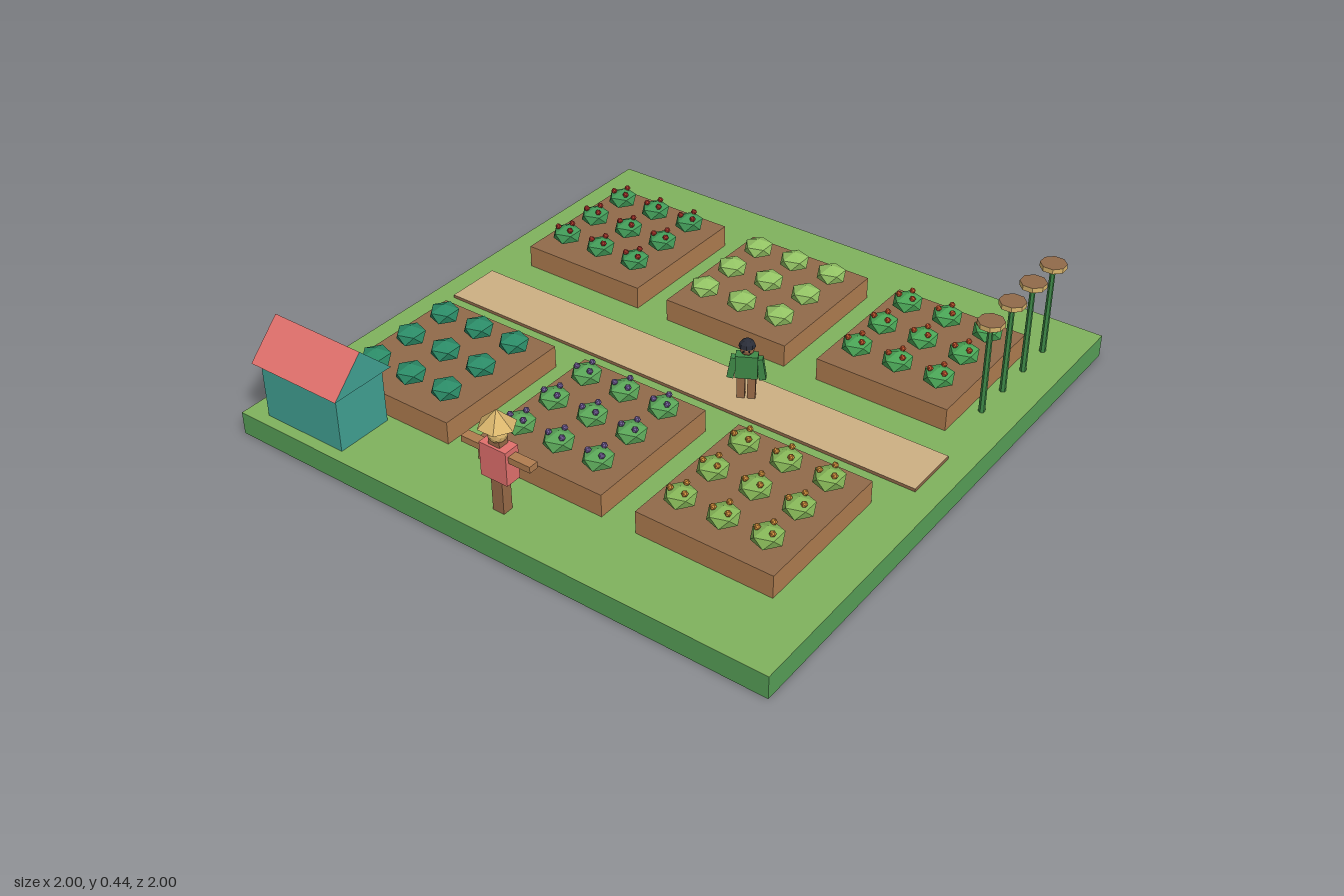
import * as THREE from 'three';

const mat = (color) => new THREE.MeshStandardMaterial({ color, flatShading: true });
const WOOD = mat(0xb07d50), SOIL = mat(0x916a4a), TEAL = mat(0x41a294), RED = mat(0xe2716d);
const SKIN = mat(0x9a6b48), STRAW = mat(0xd9b56c), DARK = mat(0x2a2d38), STEM = mat(0x3f8a48);

function add(parent, name, geometry, material, x = 0, y = 0, z = 0) {
  const mesh = new THREE.Mesh(geometry, material);
  mesh.name = name;
  mesh.position.set(x, y, z);
  parent.add(mesh);
  return mesh;
}

// Box standing on y0
const box = (parent, name, material, w, h, d, x, y0, z) =>
  add(parent, name, new THREE.BoxGeometry(w, h, d), material, x, y0 + h / 2, z);

function group(parent, name, x = 0, y = 0, z = 0) {
  const g = new THREE.Group();
  g.name = name;
  g.position.set(x, y, z);
  parent.add(g);
  return g;
}

// Box with a different colour on its top face
function toppedBox(parent, name, side, top, w, h, d, x, y0, z) {
  return box(parent, name, [side, side, top, side, side, side], w, h, d, x, y0, z);
}

// Squashed ten-sided bush with one corner pointing up
const bushGeometry = new THREE.IcosahedronGeometry(0.055, 0)
  .rotateZ(Math.atan(2 / (1 + Math.sqrt(5)))).scale(1, 0.62, 1);
const fruitGeometry = new THREE.IcosahedronGeometry(0.011, 0);

function plant(parent, leaf, fruit, x, y, z) {
  const g = group(parent, 'plant', x, y, z);
  add(g, 'leaves', bushGeometry, leaf);
  if (!fruit) return;
  for (let i = 0; i < 3; i++) {
    const a = Math.PI / 2 + (i * Math.PI * 2) / 3;
    add(g, 'fruit', fruitGeometry, fruit, Math.cos(a) * 0.03, 0.028, -Math.sin(a) * 0.03);
  }
}

// Raised bed with a three by three planting
function bed(parent, x, z, leafColor, fruitColor) {
  const g = group(parent, 'gardenBed', x, 0.08, z);
  toppedBox(g, 'soil', WOOD, SOIL, 0.476, 0.08, 0.52, 0, 0, 0);
  const leaf = mat(leafColor), fruit = fruitColor && mat(fruitColor);
  for (const i of [-1, 0, 1]) {
    for (const j of [-1, 0, 1]) plant(g, leaf, fruit, i * 0.15, 0.115, j * 0.16);
  }
}

function shed(parent) {
  const g = group(parent, 'shed', -0.76, 0.08, 0.86);
  box(g, 'walls', TEAL, 0.32, 0.2, 0.2, 0, 0, 0);
  // Gabled roof: the two ends match the walls
  const gable = new THREE.Shape();
  gable.moveTo(-0.12, 0);
  gable.lineTo(0.12, 0);
  gable.lineTo(0, 0.12);
  const roof = new THREE.ExtrudeGeometry(gable, { depth: 0.36, bevelEnabled: false });
  roof.translate(0, 0, -0.18).rotateY(Math.PI / 2);
  add(g, 'roof', roof, [TEAL, RED], 0, 0.2, 0);
}

function scarecrow(parent) {
  const g = group(parent, 'scarecrow', -0.02, 0.08, 0.88);
  box(g, 'post', SKIN, 0.042, 0.26, 0.038, 0, 0, 0);
  box(g, 'shirt', RED, 0.1, 0.118, 0.056, 0, 0.122, 0);
  box(g, 'arms', WOOD, 0.26, 0.022, 0.034, 0, 0.199, 0);
  add(g, 'head', new THREE.IcosahedronGeometry(0.031, 1), STRAW, 0, 0.276, 0);
  const hat = new THREE.ConeGeometry(0.06, 0.055, 6).rotateY(Math.PI / 2);
  add(g, 'hat', hat, STRAW, 0, 0.332, 0);
}

function gardener(parent) {
  const g = group(parent, 'gardener', 0.24, 0.09, 0);
  g.rotation.y = 0.5;
  const shirt = mat(0x3f8a48);
  for (const s of [-1, 1]) {
    box(g, 'leg', SKIN, 0.026, 0.085, 0.03, s * 0.017, 0, 0);
    const arm = box(g, 'arm', shirt, 0.022, 0.076, 0.026, s * 0.046, 0.073, 0);
    arm.rotation.z = s * 0.16;
  }
  box(g, 'torso', shirt, 0.072, 0.082, 0.038, 0, 0.078, 0);
  add(g, 'head', new THREE.IcosahedronGeometry(0.025, 1), SKIN, 0, 0.184, 0);
  const cap = new THREE.SphereGeometry(0.028, 8, 3, 0, Math.PI * 2, 0, Math.PI / 2);
  add(g, 'hair', cap, DARK, 0, 0.19, 0).scale.y = 0.95;
  for (const s of [-1, 1]) box(g, 'eye', DARK, 0.005, 0.005, 0.004, s * 0.009, 0.181, 0.024);
}

// Tall flower with a flat octagonal head
function sunflower(parent, z) {
  const g = group(parent, 'sunflower', 0.88, 0.08, z);
  add(g, 'stalk', new THREE.CylinderGeometry(0.009, 0.011, 0.325, 6), STEM, 0, 0.1625, 0);
  const head = new THREE.CylinderGeometry(0.044, 0.044, 0.017, 8).rotateY(Math.PI / 8);
  add(g, 'flowerHead', head, [STRAW, SOIL, STRAW], 0, 0.332, 0);
}

export function createModel() {
  const model = new THREE.Group();
  model.name = 'vegetableGarden';

  toppedBox(model, 'ground', mat(0x57a058), mat(0x80b25d), 2, 0.08, 2, 0, 0, 0);
  const path = mat(0xcdb083);
  toppedBox(model, 'path', SOIL, path, 1.834, 0.011, 0.2, 0, 0.08, 0);

  // Beds: x, z, leaf colour, fruit colour
  const beds = [
    [-0.6, -0.48, 0x429a58, 0xb5392f],
    [0, -0.48, 0x93c364],
    [0.6, -0.48, 0x4aa556, 0xc8562f],
    [-0.6, 0.48, 0x2b8b67],
    [0, 0.48, 0x5aa558, 0x75609a],
    [0.6, 0.48, 0x85b557, 0xcc8b3a],
  ];
  for (const b of beds) bed(model, ...b);

  shed(model);
  scarecrow(model);
  gardener(model);
  for (const z of [-0.8, -0.66, -0.52, -0.38]) sunflower(model, z);
  return model;
}
